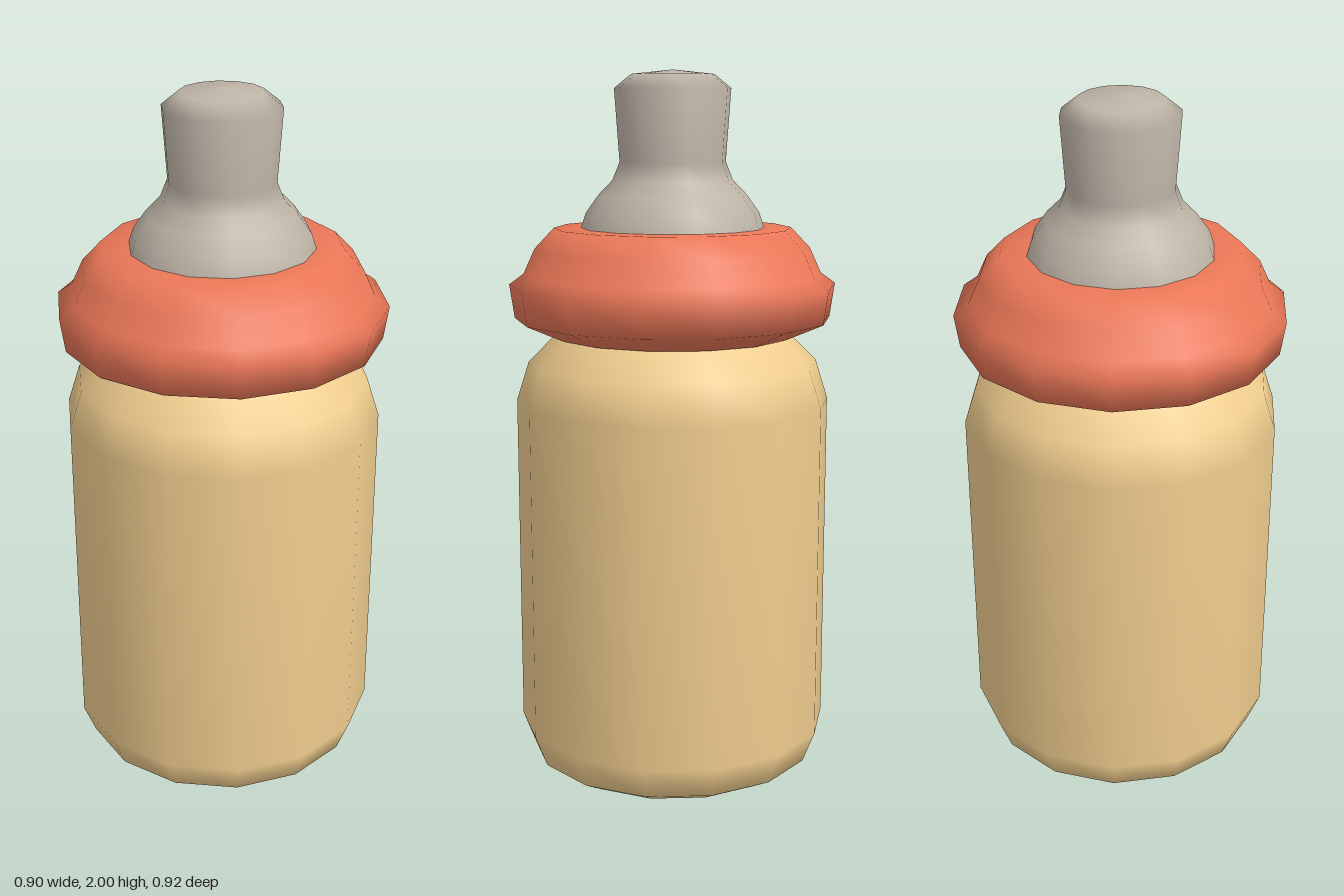
import * as THREE from 'three';

const SIDES = 14;

// Smooth turned part from [radius, height] pairs, listed bottom to top
function turned(name, color, profile) {
  const points = profile.map(([r, y]) => new THREE.Vector2(r, y));
  const mesh = new THREE.Mesh(
    new THREE.LatheGeometry(points, SIDES),
    new THREE.MeshStandardMaterial({ color, side: THREE.DoubleSide })
  );
  mesh.name = name;
  return mesh;
}

export function createModel() {
  const group = new THREE.Group();
  group.name = 'babyBottle';

  // Rounded container, open at the neck under the collar
  group.add(turned('bottleBody', 0xf0cd8e, [
    [0, 0.005], [0.345, 0.005], [0.41, 0.04], [0.445, 0.13],
    [0.445, 1.08], [0.41, 1.19], [0.33, 1.27],
  ]));

  // Screw collar with a flared rim and flat top
  group.add(turned('collar', 0xea7757, [
    [0.32, 1.265], [0.34, 1.268], [0.447, 1.315], [0.461, 1.41],
    [0.42, 1.44], [0.388, 1.51], [0.333, 1.568], [0.24, 1.568],
  ]));

  // Soft teat: domed base, narrow waist, rounded tip
  group.add(turned('teat', 0xbdb3a6, [
    [0.258, 1.565], [0.243, 1.61], [0.207, 1.66], [0.168, 1.70], [0.148, 1.75],
    [0.162, 1.95], [0.115, 1.988], [0, 2.0],
  ]));

  return group;
}
